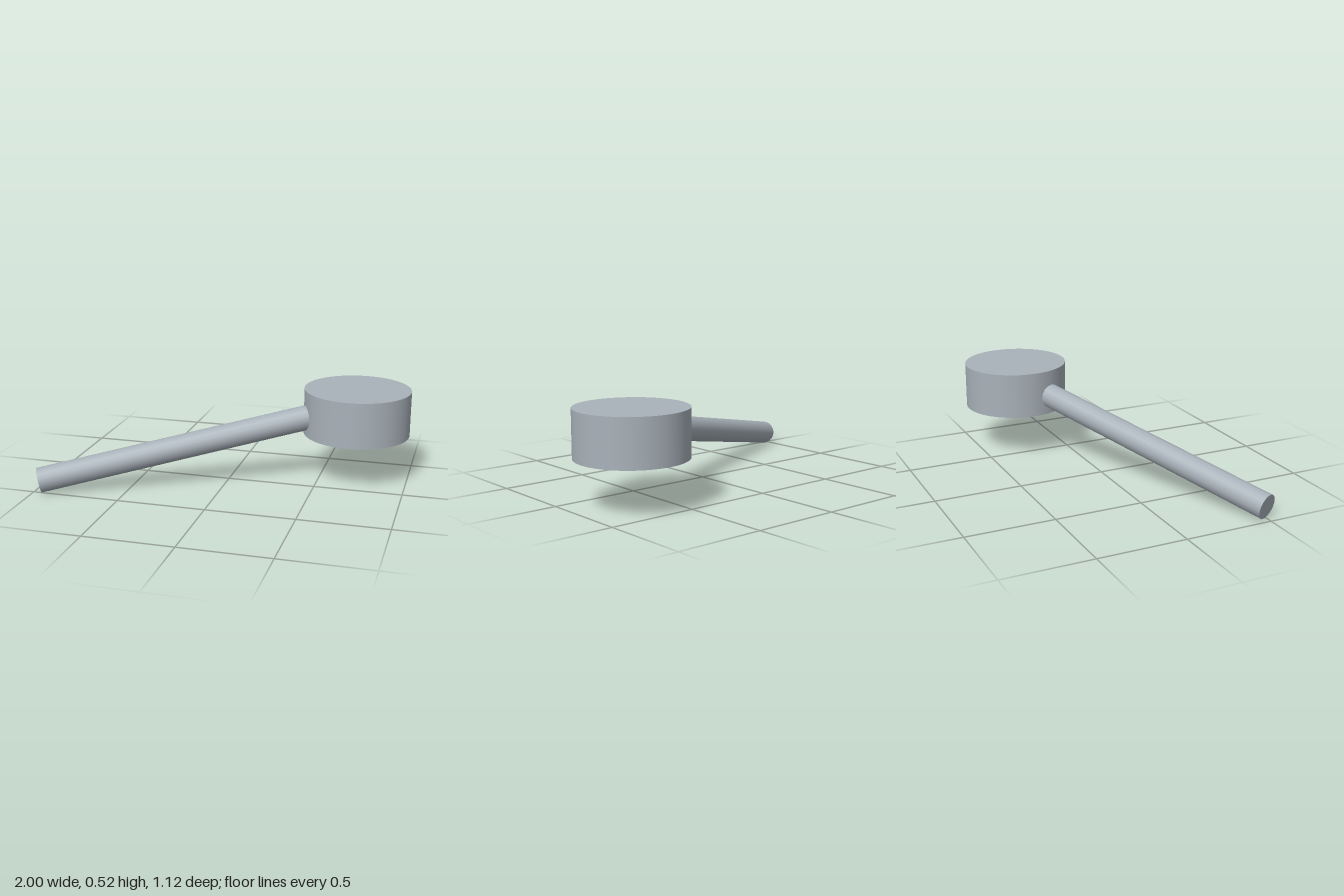
import * as THREE from 'three';

export function createModel() {
  const group = new THREE.Group();
  const steel = new THREE.MeshStandardMaterial({ color: 0xa9b2ba });
  steel.name = 'steel grey';

  // Upright drum at the raised end
  const drum = new THREE.Mesh(new THREE.CylinderGeometry(0.305, 0.305, 0.263, 64), steel);
  drum.name = 'drum';
  drum.position.set(0.695, 0.396, -0.255);
  group.add(drum);

  // Sloping round handle, running from its free end into the drum
  const start = new THREE.Vector3(-0.968, 0.075, 0.492);
  const end = new THREE.Vector3(0.5, 0.386, -0.172);
  const axis = end.clone().sub(start);
  const handle = new THREE.Mesh(new THREE.CylinderGeometry(0.071, 0.071, axis.length(), 16), steel);
  handle.name = 'handle';
  handle.position.copy(start).lerp(end, 0.5);
  handle.quaternion.setFromUnitVectors(new THREE.Vector3(0, 1, 0), axis.normalize());
  group.add(handle);

  return group;
}
